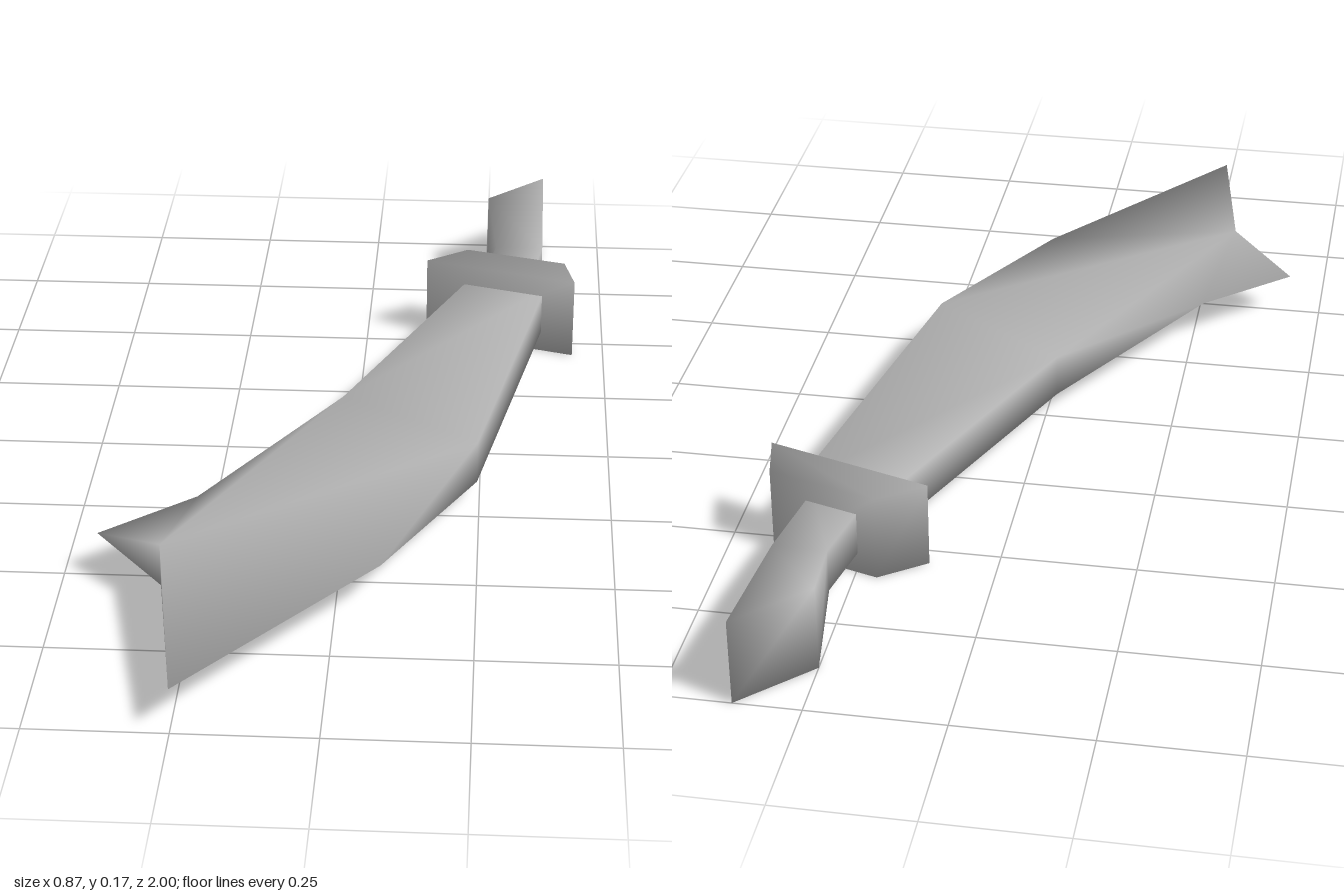
import * as THREE from 'three';

const MID = 0.084; // height of the sword's central plane

// Slab from a counter-clockwise plan outline of [x, z, halfHeight].
// Points with no height become one shared edge vertex; normals stay smooth.
function slab(outline, tris, openEdge = -1) {
  const pos = [], top = [], bottom = [], index = [];
  const add = (x, y, z) => pos.push(x, y, z) / 3 - 1;
  for (const [x, z, h] of outline) {
    const t = add(x, MID + h, z);
    top.push(t);
    bottom.push(h > 0 ? add(x, MID - h, z) : t);
  }
  const face = (a, b, c) => {
    if (a !== b && b !== c && c !== a) index.push(a, b, c);
  };
  for (const [a, b, c] of tris) {
    face(top[a], top[b], top[c]);
    face(bottom[a], bottom[c], bottom[b]);
  }
  outline.forEach((_, i) => {
    if (i === openEdge) return;
    const j = (i + 1) % outline.length;
    face(bottom[i], bottom[j], top[j]);
    face(bottom[i], top[j], top[i]);
  });
  const g = new THREE.BufferGeometry();
  g.setAttribute('position', new THREE.Float32BufferAttribute(pos, 3));
  g.setIndex(index);
  g.computeVertexNormals();
  return g;
}

export function createModel() {
  const group = new THREE.Group();
  const metal = new THREE.MeshStandardMaterial({ color: 0xb0b0b0 });
  metal.name = 'grey metal';
  const part = (name, geometry) => {
    const mesh = new THREE.Mesh(geometry, metal);
    mesh.name = name;
    group.add(mesh);
  };
  const thin = 0.042, thick = 0.084;

  // Curved blade with a notched, tapering end; base sits inside the guard
  part('blade', slab([
    [0.375, -0.5, thin], [0.215, -0.54, thin],
    [-0.02, 0.015, thin], [-0.27, 0.35, 0],
    [-0.437, 0.495, 0], [-0.31, 0.6, thin],
    [-0.25, 0.995, 0], [0.08, 0.58, 0], [0.245, 0.19, thin],
  ], [[0, 1, 2], [0, 2, 8], [8, 2, 5], [2, 3, 5], [3, 4, 5], [5, 6, 7], [5, 7, 8]], 0));

  // Slanted block guard
  part('guard', slab([
    [0.435, -0.445, thick], [0.415, -0.54, thick],
    [0.21, -0.6, thick], [0.125, -0.54, thick],
  ], [[0, 1, 2], [0, 2, 3]]));

  // Grip flaring into the pommel
  part('gripAndPommel', slab([
    [0.34, -0.53, thin], [0.37, -0.71, thin],
    [0.372, -1.0, thick], [0.25, -0.88, thick],
    [0.27, -0.71, thin], [0.24, -0.56, thin],
  ], [[0, 1, 4], [0, 4, 5], [1, 2, 3], [1, 3, 4]], 5));

  return group;
}
